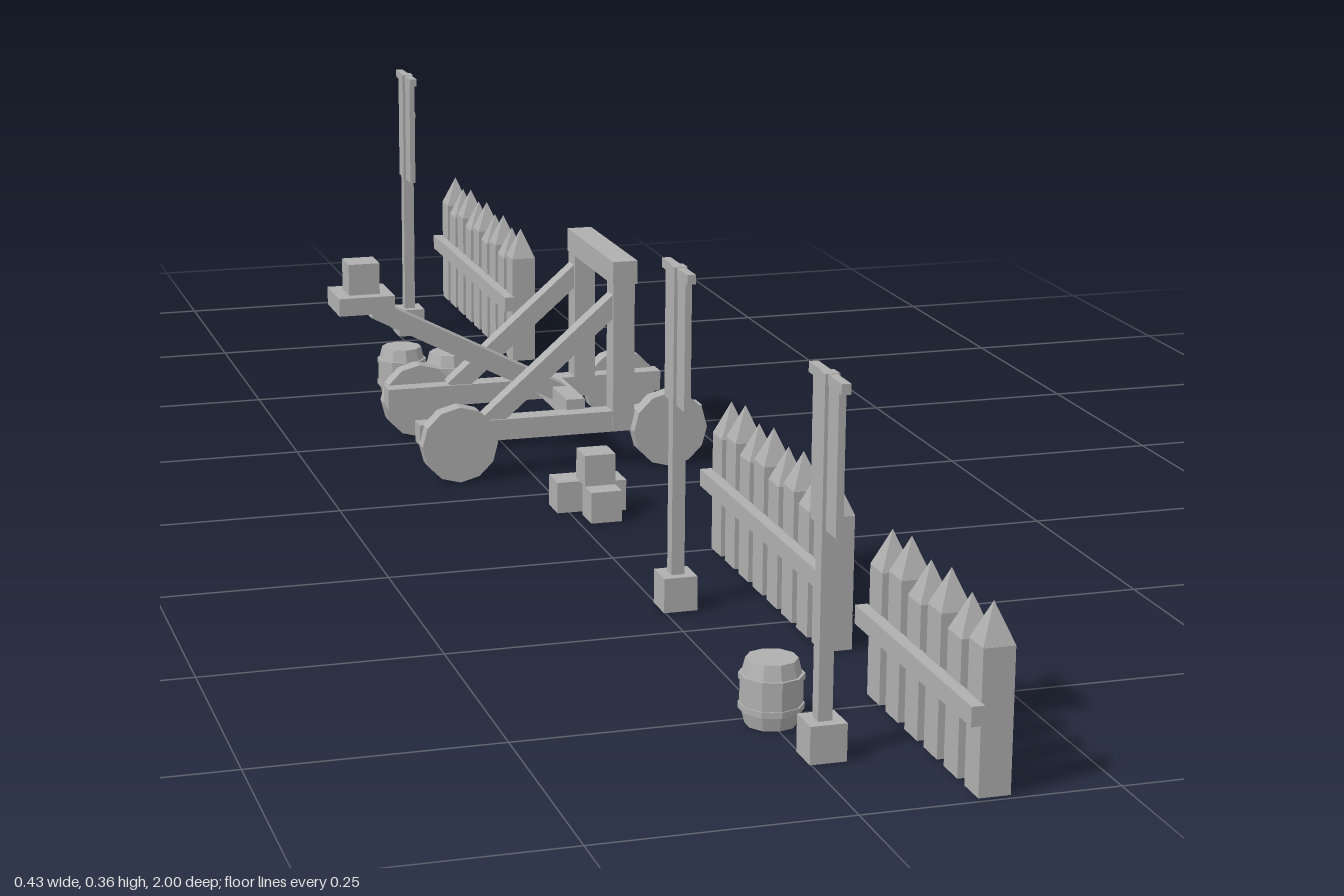
import * as THREE from 'three';

const grey = new THREE.MeshStandardMaterial({ color: 0xb0b0b0, flatShading: true });
grey.name = 'plain grey';

function add(parent, name, geo, x = 0, y = 0, z = 0) {
  const mesh = new THREE.Mesh(geo, grey);
  mesh.name = name;
  mesh.position.set(x, y, z);
  parent.add(mesh);
  return mesh;
}

const box = (parent, name, w, h, d, x, y, z) =>
  add(parent, name, new THREE.BoxGeometry(w, h, d), x, y, z);

// Square timber lying in the xy plane between two points
function beam(parent, name, x0, y0, x1, y1, thick, depth, z) {
  const mesh = box(parent, name, Math.hypot(x1 - x0, y1 - y0), thick, depth, (x0 + x1) / 2, (y0 + y1) / 2, z);
  mesh.rotation.z = Math.atan2(y1 - y0, x1 - x0);
  return mesh;
}

function group(parent, name, x = 0, z = 0) {
  const g = new THREE.Group();
  g.name = name;
  g.position.set(x, 0, z);
  parent.add(g);
  return g;
}

// Row of pointed stakes held by one rail behind
function fence(parent, first, last, count) {
  const g = group(parent, 'palisade');
  for (let i = 0; i < count; i++) {
    const z = first + (last - first) * i / (count - 1);
    const h = i % 2 ? 0.132 : 0.14;
    box(g, 'stake', 0.031, h, 0.032, 0.13, h / 2, z);
    const tip = new THREE.ConeGeometry(0.0222, 0.038, 4, 1, true);
    tip.rotateY(Math.PI / 4);
    add(g, 'stakePoint', tip, 0.13, h + 0.019, z);
  }
  box(g, 'fenceRail', 0.013, 0.019, Math.abs(last - first) + 0.045, 0.109, 0.08, (first + last) / 2);
}

// Post on a block with a hanging cloth
function banner(parent, z) {
  const g = group(parent, 'banner', 0.016, z);
  box(g, 'bannerBase', 0.036, 0.037, 0.036, 0, 0.0185, 0);
  box(g, 'bannerPost', 0.014, 0.327, 0.015, 0, 0.2, 0);
  box(g, 'bannerCrossbar', 0.009, 0.01, 0.084, 0, 0.358, 0);
  box(g, 'bannerCloth', 0.007, 0.135, 0.066, 0, 0.286, 0);
  const emblem = box(g, 'bannerEmblem', 0.002, 0.025, 0.025, 0.0075, 0.307, 0);
  emblem.rotation.x = Math.PI / 4;
}

// Bulging cask with two hoops
function barrel(parent, x, z) {
  const g = group(parent, 'barrel', x, z);
  const profile = [[0, 0], [0.025, 0], [0.03, 0.02], [0.03, 0.045], [0.025, 0.065], [0, 0.065]];
  add(g, 'barrelBody', new THREE.LatheGeometry(profile.map(p => new THREE.Vector2(...p)), 10));
  for (const y of [0.018, 0.047]) {
    add(g, 'barrelHoop', new THREE.CylinderGeometry(0.0315, 0.0315, 0.006, 10), 0, y, 0);
  }
}

function catapult(parent) {
  const g = group(parent, 'catapult', 0, -0.184);
  for (const s of [-1, 1]) {
    // Side frame: rail, upright and diagonal brace
    box(g, 'sideRail', 0.347, 0.025, 0.025, 0.039, 0.055, s * 0.083);
    box(g, 'upright', 0.026, 0.18, 0.028, 0.114, 0.135, s * 0.083);
    beam(g, 'brace', -0.052, 0.062, 0.112, 0.204, 0.022, 0.02, s * 0.083);
    for (const x of [-0.09, 0.168]) {
      const wheel = new THREE.CylinderGeometry(0.0455, 0.0455, 0.021, 12);
      wheel.rotateX(Math.PI / 2);
      add(g, 'wheel', wheel, x, 0.045, s * 0.102);
    }
  }
  box(g, 'topBeam', 0.03, 0.028, 0.196, 0.115, 0.236, 0);
  box(g, 'armAxle', 0.023, 0.026, 0.15, 0.061, 0.067, 0);
  // Throwing arm with its tray and stone
  beam(g, 'throwingArm', -0.168, 0.19, 0.066, 0.068, 0.022, 0.025, 0);
  box(g, 'tray', 0.067, 0.021, 0.067, -0.182, 0.2, 0);
  box(g, 'stone', 0.037, 0.037, 0.037, -0.182, 0.229, 0);
}

export function createModel() {
  const model = new THREE.Group();
  model.name = 'siegeCamp';
  fence(model, 0.978, 0.737, 6);
  fence(model, 0.582, 0.262, 8);
  fence(model, -0.617, -0.978, 9);
  [0.862, 0.424, -0.791].forEach(z => banner(model, z));
  barrel(model, 0, 0.768);
  barrel(model, -0.068, -0.472);
  barrel(model, -0.016, -0.428);
  // Pile of square blocks
  const pile = group(model, 'blockPile');
  for (const [x, y, z] of [[0.004, 0, 0.06], [0.047, 0, 0.068], [0.03, 0, 0.108], [0.03, 1, 0.082]]) {
    box(pile, 'block', 0.036, 0.036, 0.036, x, 0.018 + y * 0.036, z);
  }
  catapult(model);
  return model;
}
